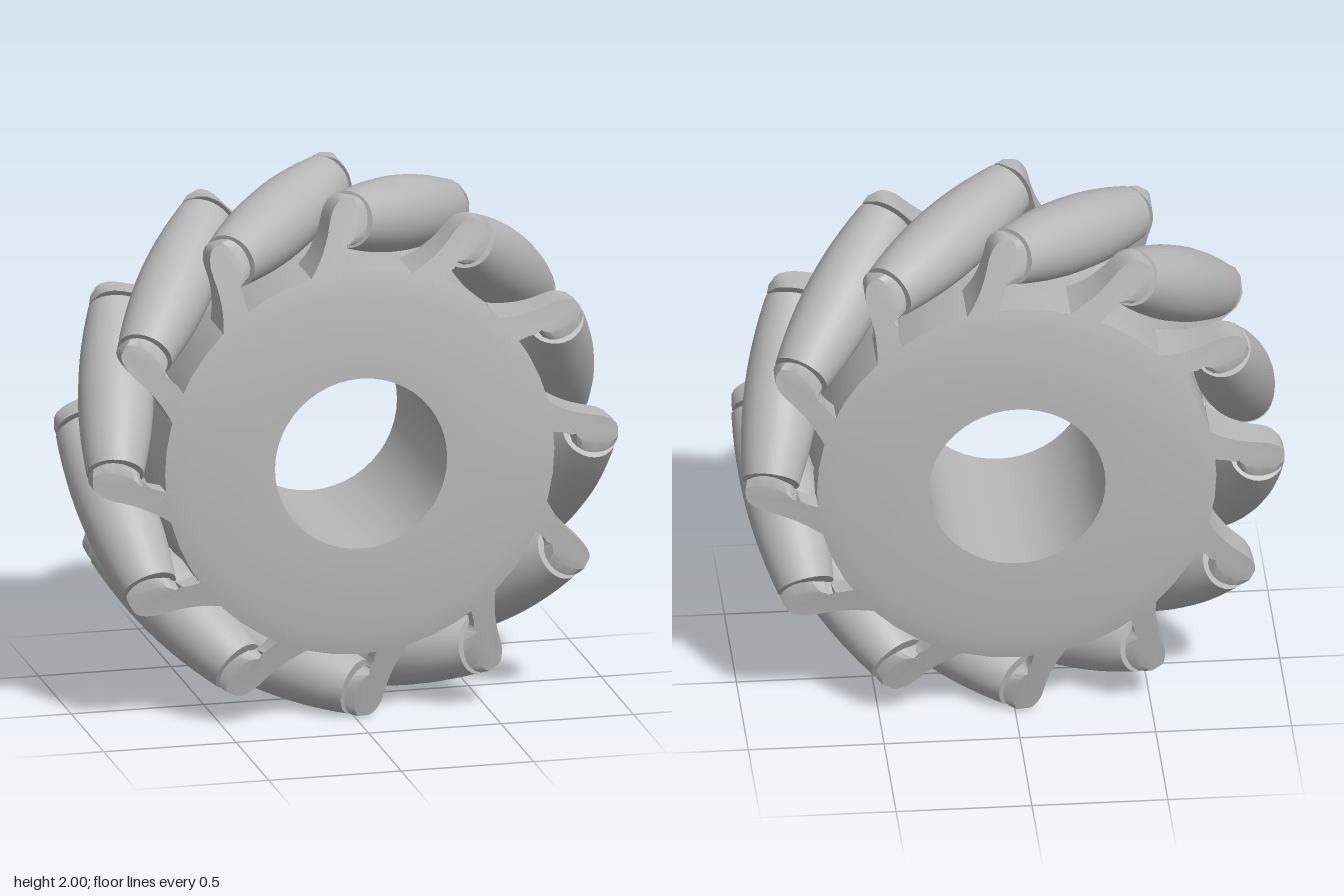
import * as THREE from 'three';
import { toCreasedNormals } from 'three/addons/utils/BufferGeometryUtils.js';

const COUNT = 12;          // rollers around the wheel
const AXIS_R = 0.86;       // distance of roller axes from the wheel axis
const HALF = 0.35;         // half length of a roller
const FACE = 0.385;        // half depth of the hub

// Front of the wheel: flat disc, then a shallow cone towards the rim
const faceZ = (r) => FACE - 0.25 * Math.max(0, r - 0.65);

// Ring-shaped hub with a bore and a slight waist under the rollers
function hubGeometry() {
  const pts = [
    [0.325, -FACE], [0.65, -FACE], [0.735, -faceZ(0.735)], [0.735, -0.22], [0.715, -0.05],
    [0.715, 0.05], [0.735, 0.22], [0.735, faceZ(0.735)], [0.65, FACE], [0.325, FACE], [0.325, -FACE],
  ].map(([x, y]) => new THREE.Vector2(x, y));
  return toCreasedNormals(new THREE.LatheGeometry(pts, 48).rotateX(Math.PI / 2), 0.5);
}

// Barrel roller whose profile keeps the wheel's outline round
function rollerGeometry() {
  const pts = [new THREE.Vector2(0.045, -HALF)];
  for (let i = 0; i <= 12; i++) {
    const s = HALF * (i / 6 - 1);
    pts.push(new THREE.Vector2(1 - Math.hypot(AXIS_R, s * Math.SQRT1_2), s));
  }
  pts.push(new THREE.Vector2(0.045, HALF));
  return toCreasedNormals(new THREE.LatheGeometry(pts, 28), 0.6);
}

// Hooked arm: back lies on the slanted roller end, front follows the cone
function armGeometry() {
  const shape = new THREE.Shape();
  shape.moveTo(-0.25, 0.66);
  shape.lineTo(-0.252, 0.73);
  shape.quadraticCurveTo(-0.25, 0.775, -0.217, 0.787);
  for (let i = 0; i <= 14; i++) {
    const a = THREE.MathUtils.degToRad(-50 + i * 17);
    shape.lineTo(-0.262 + 0.072 * Math.cos(a), 0.863 + 0.1 * Math.sin(a));
  }
  shape.quadraticCurveTo(-0.325, 0.74, -0.36, 0.64);
  const geo = new THREE.ExtrudeGeometry(shape, { depth: 1, bevelEnabled: false, curveSegments: 6 });
  const p = geo.attributes.position;
  for (let i = 0; i < p.count; i++) {
    let x = p.getX(i), y = p.getY(i);
    const front = p.getZ(i) > 0.5;
    if (front && y > 0.76) x -= 0.035 * THREE.MathUtils.smoothstep(x, -0.34, -0.2);
    const r = Math.hypot(x, y);
    const k = Math.min(1, 0.992 / r);
    const cap = faceZ(r);
    p.setXYZ(i, x * k, y * k, front ? cap : Math.min(x + 0.52, cap - 0.012));
  }
  geo.computeVertexNormals();
  return toCreasedNormals(geo, 0.6);
}

export function createModel() {
  const grey = new THREE.MeshStandardMaterial({ color: 0xb8b8b8 });
  grey.name = 'light grey';

  const model = new THREE.Group();
  model.name = 'rollerWheel';
  const wheel = new THREE.Group();
  wheel.name = 'wheel';
  wheel.position.y = 1;
  model.add(wheel);

  const add = (parent, name, geo) => {
    const mesh = new THREE.Mesh(geo, grey);
    mesh.name = name;
    parent.add(mesh);
    return mesh;
  };

  add(wheel, 'hub', hubGeometry());

  const roller = rollerGeometry();
  const axle = new THREE.CylinderGeometry(0.05, 0.05, 0.76, 16);
  const arm = armGeometry();

  // Front and rear sets of arms are the same set turned half round
  const frontArms = new THREE.Group();
  frontArms.name = 'frontArms';
  const rearArms = new THREE.Group();
  rearArms.name = 'rearArms';
  rearArms.rotation.y = Math.PI;
  wheel.add(frontArms, rearArms);

  for (let i = 0; i < COUNT; i++) {
    const turn = ((i + 0.5) / COUNT) * Math.PI * 2;

    // Slanted roller on its axle
    const station = new THREE.Group();
    station.name = 'rollerStation';
    station.rotation.z = turn;
    wheel.add(station);
    for (const [name, geo] of [['roller', roller], ['axle', axle]]) {
      const mesh = add(station, name, geo);
      mesh.position.y = AXIS_R;
      mesh.rotation.set(Math.PI / 2, -Math.PI / 4, 0, 'YXZ');
    }

    add(frontArms, 'frontArm', arm).rotation.z = turn;
    add(rearArms, 'rearArm', arm).rotation.z = turn;
  }
  return model;
}
